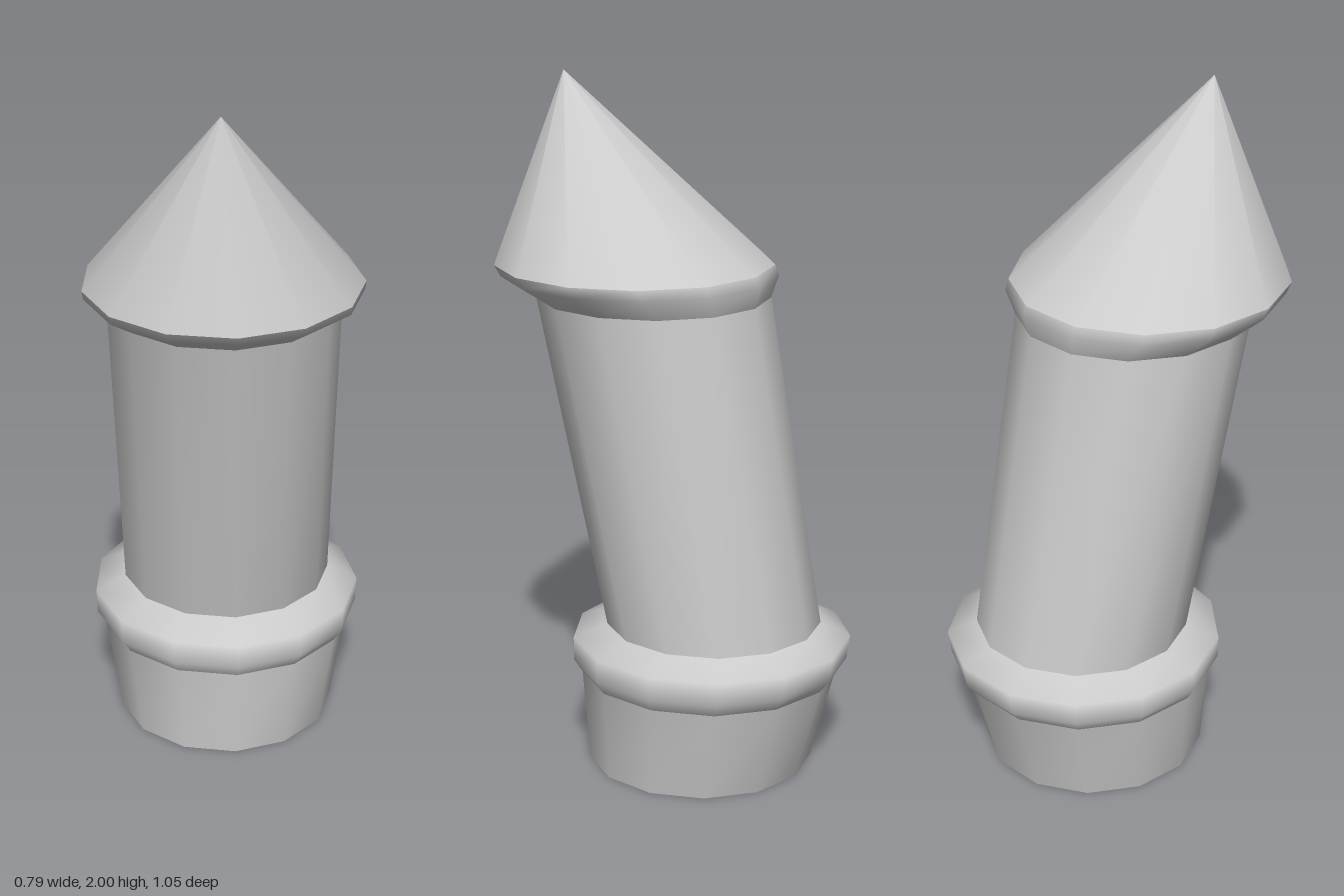
import * as THREE from 'three';

const SIDES = 13;
const material = new THREE.MeshStandardMaterial({ color: 0xcccccc });

// Lofts level elliptical rings, each given as [y, centre z, radius x, radius z]
function loft(name, rings) {
  const positions = [], indices = [];
  for (const [y, cz, rx, rz] of rings) {
    for (let k = 0; k < SIDES; k++) {
      const a = (k / SIDES) * Math.PI * 2;
      positions.push(rx * Math.cos(a), y, cz + rz * Math.sin(a));
    }
  }
  for (let i = 0; i < rings.length - 1; i++) {
    for (let k = 0; k < SIDES; k++) {
      const n = (k + 1) % SIDES;
      const a = i * SIDES + k, b = a + SIDES;
      const c = i * SIDES + n, d = c + SIDES;
      indices.push(a, b, c, b, d, c);
    }
  }
  const geometry = new THREE.BufferGeometry();
  geometry.setAttribute('position', new THREE.Float32BufferAttribute(positions, 3));
  geometry.setIndex(indices);
  geometry.computeVertexNormals();
  const mesh = new THREE.Mesh(geometry, material);
  mesh.name = name;
  return mesh;
}

export function createModel() {
  const group = new THREE.Group();
  group.name = 'bentSpike';

  const foot = [0, -0.083, 0.325, 0.33];
  const footTop = [0.28, -0.112, 0.37, 0.375];
  const shaftBottom = [0.43, -0.127, 0.31, 0.314];
  const shaftTop = [1.38, 0.067, 0.328, 0.336];
  const coneBase = [1.47, 0.128, 0.39, 0.403];

  // Flared foot, bulging ring, leaning shaft, and collar under the tip
  group.add(
    loft('foot', [foot, footTop]),
    loft('baseRing', [footTop, [0.32, -0.115, 0.397, 0.403], [0.39, -0.12, 0.4, 0.408], shaftBottom]),
    loft('shaft', [shaftBottom, shaftTop]),
    loft('collar', [shaftTop, [1.44, 0.112, 0.388, 0.398], coneBase]),
    // Pointed tip leaning back from the collar
    loft('tip', [coneBase, [2, 0.35, 0.0005, 0.0005]]),
  );

  // Flat underside
  const underside = new THREE.Mesh(
    new THREE.CircleGeometry(1, SIDES).scale(foot[2], foot[3], 1).rotateX(Math.PI / 2),
    material,
  );
  underside.position.z = foot[1];
  underside.name = 'underside';
  group.add(underside);

  return group;
}
